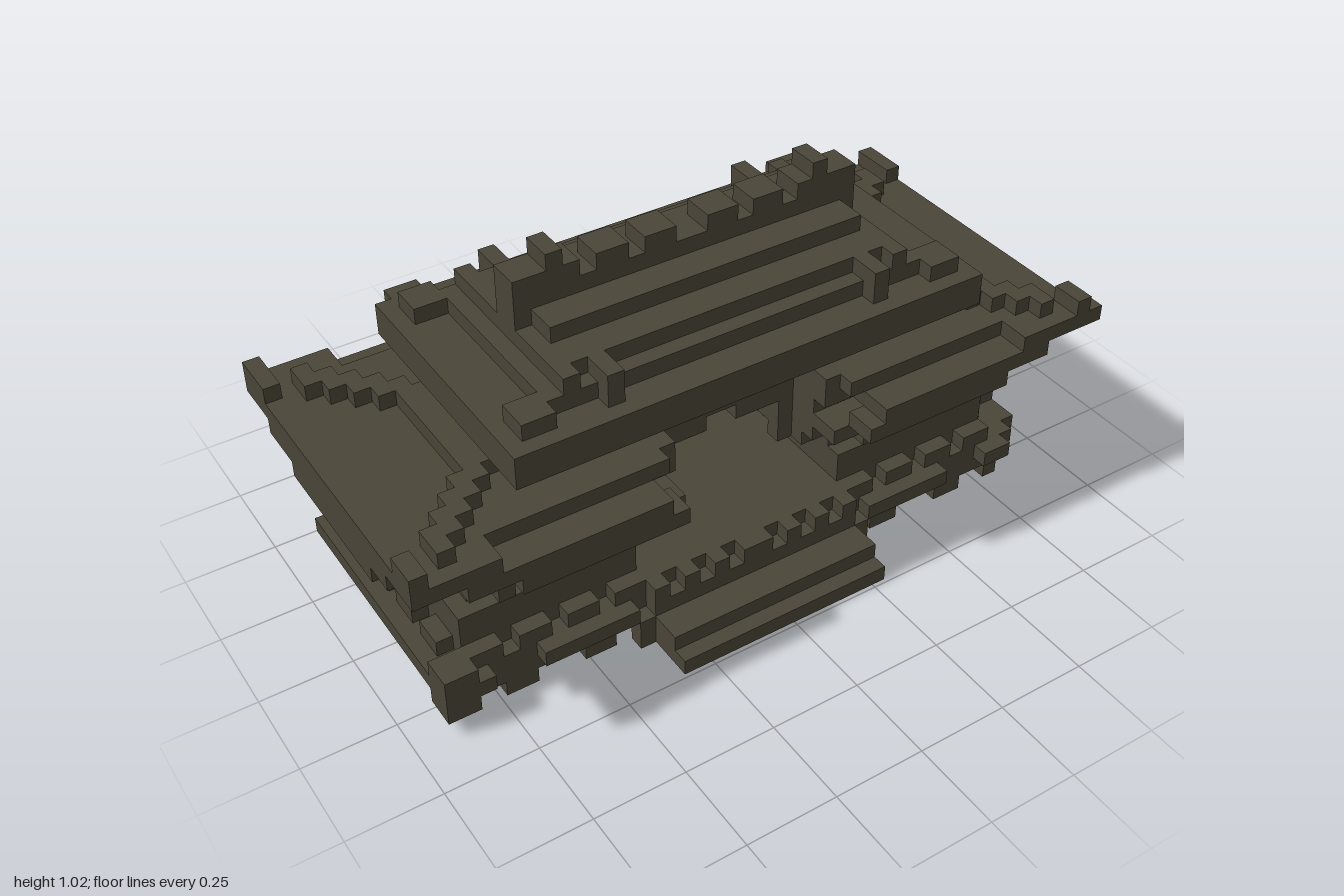
import * as THREE from 'three';
import { mergeGeometries } from 'three/addons/utils/BufferGeometryUtils.js';

const V = 2 / 45; // size of one block
const wood = new THREE.MeshStandardMaterial({ color: 0x4a4538 });
wood.name = 'dark timber';

// Collects boxes given as block ranges: x0,x1,y0,y1,z0,z1
class Part {
  constructor(name) { this.name = name; this.list = []; }
  box(x0, x1, y0, y1, z0, z1) {
    const g = new THREE.BoxGeometry((x1 - x0) * V, (y1 - y0) * V, (z1 - z0) * V);
    g.translate((x0 + x1 - 1) / 2 * V, (y0 + y1) / 2 * V, (z0 + z1) / 2 * V);
    this.list.push(g);
    return this;
  }
  // same box on both sides in x
  pair(x0, x1, y0, y1, z0, z1) {
    return this.box(x0, x1, y0, y1, z0, z1).box(-x1, -x0, y0, y1, z0, z1);
  }
  // same box in all four corners
  quad(x0, x1, y0, y1, z0, z1) {
    return this.pair(x0, x1, y0, y1, z0, z1).pair(x0, x1, y0, y1, -z1, -z0);
  }
  // hollow frame of thickness t on each side, from x0 out to x1
  frames(x0, x1, y0, y1, z, t) {
    return this.quad(x0, x1, y0, y1, z - t, z).pair(x1 - t, x1, y0, y1, t - z, z - t);
  }
  mesh() {
    const m = new THREE.Mesh(mergeGeometries(this.list), wood);
    m.name = this.name;
    return m;
  }
}

export function createModel() {
  const group = new THREE.Group();
  group.name = 'gatePavilion';
  const add = (part) => group.add(part.mesh());

  // Hollow base terrace with a projecting ledge
  const base = new Part('baseTerrace');
  base.box(-20, 20, 2, 3, -8, 7).box(20, 21, 2, 3, -9, 6).pair(16, 20, 2, 3, -9, -8);
  base.frames(7, 19, 1, 2, 7, 1).pair(6, 7, 1, 2, -7, 7);
  base.box(-7, 7, 3, 4, -5, 5).quad(8, 14, 2, 3, 7, 8).quad(17, 19, 2, 3, 7, 8);
  base.box(-20, -18, 1, 4, 6, 8).box(20, 21, 3, 4, 0, 4);
  // toothed border on the terrace top
  for (let x = 7; x < 19; x += 3) base.quad(x, x + 2, 3, 4, 6, 7);
  for (let z = -6; z < 6; z += 3) base.pair(18, 19, 3, 4, z, z + 2);
  add(base);

  // Small feet under the terrace
  const feet = new Part('terraceFeet');
  for (const [a, b] of [[9, 11], [14, 16], [18, 19]]) feet.quad(a, b, 0, 1, 6, 7);
  feet.quad(18, 19, 0, 1, 3, 4).quad(18, 19, 0, 1, 5, 6).pair(18, 19, 0, 1, -1, 1);
  add(feet);

  // Front and back stairs with a toothed top step
  const stairs = new Part('stairs');
  stairs.box(-7, 7, 0, 1, 8, 11).box(-7, 7, 0, 1, -11, -8);
  stairs.box(-7, 7, 1, 2, 7, 10).box(-7, 7, 1, 2, -10, -7);
  stairs.box(-7, 7, 2, 3, 6, 8).box(-7, 7, 2, 3, -9, -6);
  stairs.quad(7, 8, 0, 2, 7, 8).box(-7, 7, 3, 4, 5, 7).box(-7, 7, 3, 4, -8, -5);
  for (let x = 0; x < 7; x += 2) stairs.pair(x, x + 1, 3, 4, 7, 8).pair(x, x + 1, 3, 4, -9, -8);
  add(stairs);

  // Side podiums
  add(new Part('podiums').pair(7, 18, 3, 6, -6, 6));

  // Posts and hanging brackets
  const posts = new Part('posts');
  for (const [z0, z1] of [[3, 5], [-1, 1], [-5, -4]]) {
    posts.pair(15, 17, 6, 8, z0, z1).pair(7, 11, 6, 8, z0, z1);
  }
  posts.quad(15, 16, 7, 8, 6, 7).quad(8, 9, 7, 8, 6, 7).pair(15, 16, 7, 8, -8, -7);
  posts.pair(7, 9, 6, 7, -2, -1).pair(7, 8, 7, 8, -4, -3);
  posts.pair(4, 5, 7, 8, 3, 4).pair(5, 7, 7, 8, 3, 5).pair(5, 7, 7, 8, -5, -4);
  add(posts);

  // Hollow corbels under the wing roofs
  const corbels = new Part('corbels');
  corbels.frames(6, 17, 8, 9, 7, 2).frames(5, 18, 9, 10, 8, 2);
  corbels.pair(5, 8, 8, 11, -6, 6).pair(4, 6, 8, 11, -4, 4).pair(1, 4, 10, 11, -4, 4);
  corbels.pair(8, 17, 8, 9, -1, 1).pair(11, 12, 8, 10, -6, 6);
  add(corbels);

  // Wing roofs: rims that climb towards the corners, under a broad plate
  const wings = new Part('wingRoofs');
  wings.quad(6, 16, 10, 11, 8, 10).pair(20, 22, 10, 11, -5, 5).quad(16, 20, 10, 11, 5, 8);
  wings.pair(7, 22, 11, 12, -8, 7).pair(7, 19, 11, 12, -11, 10);
  wings.pair(6, 22, 12, 13, -9, 8).pair(5, 16, 13, 14, -4, 4).pair(5, 7, 11, 13, -7, 7);
  // raised hips and upturned corners
  for (let i = 0; i < 5; i++) wings.quad(15 + i, 16 + i, 13, 14, 3 + i, 5 + i);
  wings.pair(21, 22, 12, 14, 8, 10).pair(21, 22, 12, 14, -11, -8);
  wings.pair(17, 21, 12, 13, 8, 10).pair(17, 21, 12, 13, -11, -9).quad(19, 20, 13, 14, 8, 9);
  wings.box(22, 23, 12, 13, 9, 10);
  add(wings);

  // Beam over the passage and the neck below the upper roof
  const neck = new Part('neck');
  neck.box(-7, 7, 11, 14, -4, 4).box(-13, 13, 14, 16, -4, 4);
  add(neck);

  // Upper roof: hollow eave, then stepped slopes
  const roof = new Part('upperRoof');
  roof.frames(0, 15, 15, 16, 8, 1).box(-15, 15, 16, 17, -8, 8);
  [[12, 6], [11, 5], [10, 3]].forEach(([x, z], i) => {
    roof.box(-x, x, 17 + i, 18 + i, -z, z);
  });
  roof.box(-9, 9, 20, 21, -2, 1);
  roof.quad(12, 14, 17, 18, 5, 7).pair(12, 14, 16, 17, -9, -8);
  add(roof);

  // Gable ridges running down the ends
  const gables = new Part('gableRidges');
  gables.quad(8, 9, 17, 19, 4, 7).quad(8, 9, 18, 20, 2, 3).quad(10, 11, 18, 19, 4, 6);
  gables.pair(8, 11, 18, 21, -1, 1);
  add(gables);

  // Main ridge with crenels and finials
  const ridge = new Part('mainRidge');
  ridge.box(-11, 11, 19, 21, -1, 1).pair(7, 11, 21, 22, -1, 1);
  for (const [a, b] of [[1, 3], [4, 6]]) ridge.pair(a, b, 21, 22, -1, 1);
  ridge.pair(8, 9, 22, 23, -1, 1);
  add(ridge);

  return group;
}
